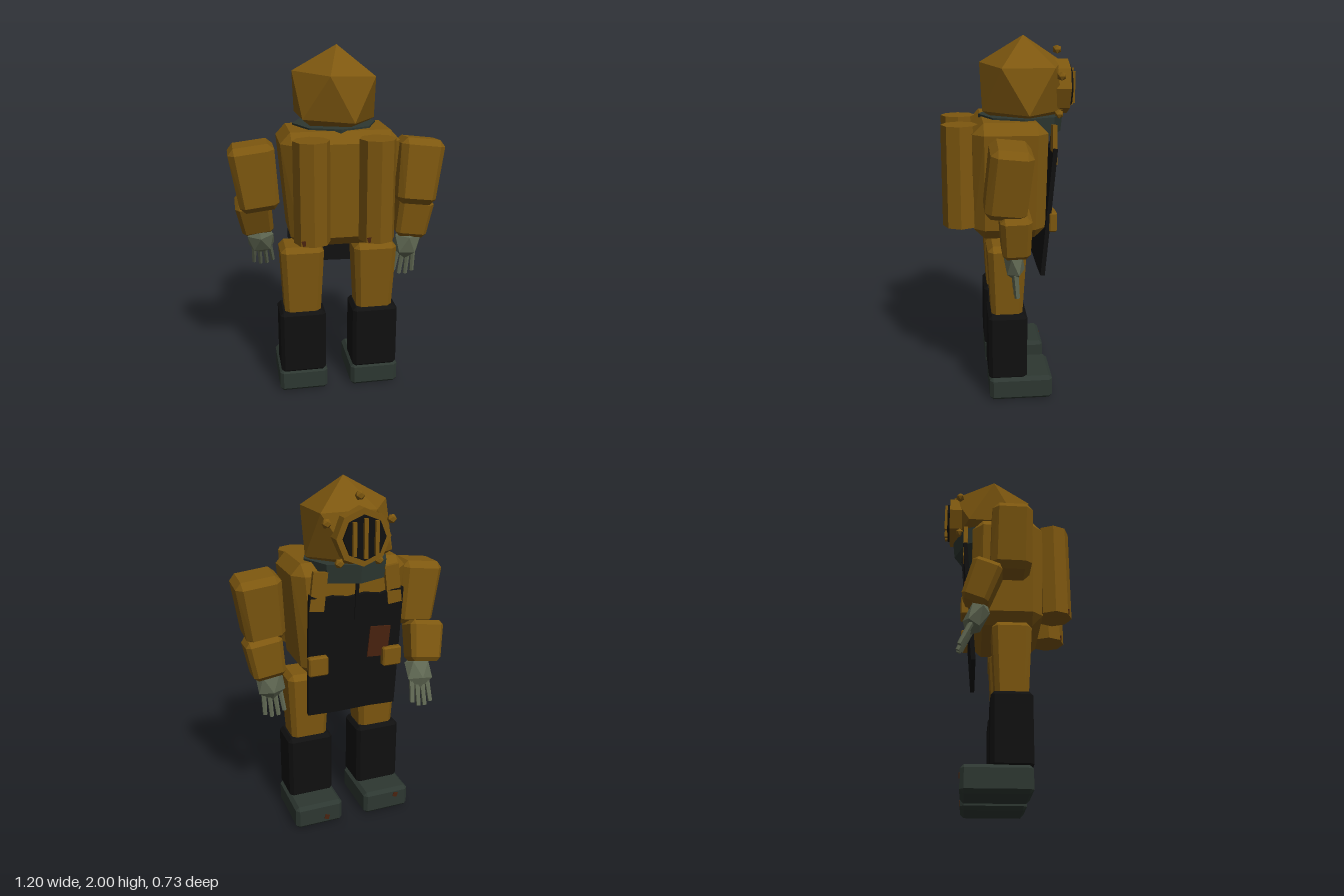
import * as THREE from 'three';
import { ConvexGeometry } from 'three/addons/geometries/ConvexGeometry.js';

const material = (name, color, flatShading = true) => {
  const m = new THREE.MeshStandardMaterial({ color, flatShading });
  m.name = name;
  return m;
};

// Box with chamfered edges; the bottom may be narrower than the top
function chamferBox(w, h, d, c, taperX = 1, taperZ = 1) {
  const points = [];
  for (const x of [-1, 1]) for (const y of [-1, 1]) for (const z of [-1, 1]) {
    for (let axis = 0; axis < 3; axis++) {
      const p = new THREE.Vector3(
        x * (w / 2 - (axis === 0 ? 0 : c)),
        y * (h / 2 - (axis === 1 ? 0 : c)),
        z * (d / 2 - (axis === 2 ? 0 : c)));
      const t = 0.5 - p.y / h;
      p.x *= 1 + (taperX - 1) * t;
      p.z *= 1 + (taperZ - 1) * t;
      points.push(p);
    }
  }
  return new ConvexGeometry(points);
}

// Icosahedron standing on a corner
const uprightIcosahedron = (r) => new THREE.IcosahedronGeometry(r, 0).rotateX(-1.0172);

export function createModel() {
  const model = new THREE.Group();
  const ochre = material('ochre metal', 0x7d570f);
  const black = material('black rubber', 0x101010);
  const slate = material('slate trim', 0x2d3731);
  const skin = material('grey green skin', 0x606853);
  const rust = material('rust', 0x4a230f);

  const add = (name, geometry, mat, pos, rot = [0, 0, 0], parent = model) => {
    const mesh = new THREE.Mesh(geometry, mat);
    mesh.name = name;
    mesh.position.set(...pos);
    mesh.rotation.set(...rot);
    parent.add(mesh);
    return mesh;
  };

  // Torso, collar and helmet
  add('torso', chamferBox(0.66, 0.64, 0.4, 0.06, 0.83, 0.97), ochre, [0, 1.25, 0]);
  add('collar', new THREE.CylinderGeometry(0.235, 0.225, 0.1, 8), slate, [0, 1.53, -0.08]);
  add('helmet', uprightIcosahedron(0.27).rotateY(-0.26), ochre, [0, 1.73, -0.09], [0, 0, -0.06]);

  // Face grille with bars and a ring of bolts
  const disc = (r, depth) => new THREE.CylinderGeometry(r, r, depth, 8).rotateX(Math.PI / 2);
  add('visorRim', disc(0.148, 0.09), ochre, [0, 1.725, -0.293]);
  add('visorGlass', disc(0.115, 0.02), black, [0, 1.725, -0.343]);
  for (const x of [-0.06, 0, 0.06]) {
    add('visorBar', new THREE.BoxGeometry(0.02, x ? 0.17 : 0.2, 0.02), ochre, [x, 1.725, -0.36]);
  }
  for (let i = 0; i < 5; i++) {
    const a = Math.PI / 2 + i * Math.PI * 0.4;
    add('helmetBolt', new THREE.IcosahedronGeometry(0.026, 0), ochre,
      [Math.cos(a) * 0.185, 1.738 + Math.sin(a) * 0.185, -0.277]);
  }

  // Apron with a torn top edge, its seam, patch, straps and pouches
  const apronShape = new THREE.Shape([
    [-0.26, -0.36], [-0.1, -0.355], [0.1, -0.36], [0.26, -0.355], [0.265, 0], [0.262, 0.36],
    [0.2, 0.33], [0.13, 0.34], [0.04, 0.325], [-0.05, 0.34], [-0.14, 0.325], [-0.2, 0.345], [-0.27, 0.35], [-0.265, 0],
  ].map(([x, y]) => new THREE.Vector2(x, y)));
  const apron = new THREE.Group();
  apron.name = 'apron';
  apron.position.set(0, 1.07, -0.21);
  apron.rotation.x = -0.083;
  model.add(apron);
  add('apronPanel', new THREE.ExtrudeGeometry(apronShape, { depth: 0.024, bevelEnabled: false }), black, [0, 0, -0.012], [0, 0, 0], apron);
  add('apronSeam', new THREE.BoxGeometry(0.018, 0.25, 0.01), black, [0, 0.32, -0.014], [0, 0, 0], apron);
  add('apronPatch', new THREE.BoxGeometry(0.12, 0.18, 0.008), rust, [-0.14, 0.05, -0.015], [0, 0, 0.06], apron);
  for (const s of [-1, 1]) {
    add('apronStrap', new THREE.BoxGeometry(0.08, 0.21, 0.024), ochre, [s * 0.21, 1.44, -0.238], [0, 0, s * 0.12]);
    add('pouch', chamferBox(0.11, 0.11, 0.045, 0.008), ochre, [s * 0.215, 1.025, -0.232]);
  }

  // Twin tanks and legs
  for (const s of [-1, 1]) {
    add('tank', new THREE.CylinderGeometry(0.098, 0.098, 0.55, 8), ochre, [s * 0.175, 1.275, 0.263]);
    add('thigh', chamferBox(0.25, 0.44, 0.215, 0.03, 0.82, 0.78), ochre, [s * 0.21, 0.69, 0.02]);
    add('shin', chamferBox(0.265, 0.39, 0.215, 0.02), black, [s * 0.213, 0.32, 0.017]);
    add('foot', chamferBox(0.285, 0.14, 0.355, 0.02), slate, [s * 0.213, 0.07, -0.057]);
  }

  // Arms: one hangs straight, the other is bent
  const arms = [
    { s: 1, upperX: -0.1, upperZ: 0.03, fore: [0.447, 1.03, -0.008], foreX: 0.03, hand: [0.42, 0.865, -0.005], handX: 0.08 },
    { s: -1, upperX: 0.02, upperZ: 0.008, fore: [-0.455, 1.045, -0.145], foreX: 0.35, hand: [-0.425, 0.875, -0.17], handX: 0.45 },
  ];
  for (const { s, upperX, upperZ, fore, foreX, hand, handX } of arms) {
    add('upperArm', chamferBox(0.255, 0.37, 0.215, 0.035, 0.85, 1), ochre, [s * 0.457, 1.31, upperZ], [upperX, 0, -s * 0.12]);
    add('forearm', chamferBox(0.21, 0.235, 0.165, 0.025, 0.86, 0.86), ochre, fore, [foreX, 0, -s * 0.14]);
    const group = new THREE.Group();
    group.name = 'hand';
    group.position.set(...hand);
    group.rotation.set(handX, 0, -s * 0.08);
    model.add(group);
    add('palm', uprightIcosahedron(1).scale(0.09, 0.11, 0.06), skin, [0, 0, 0], [0, 0, 0], group);
    for (let i = 0; i < 4; i++) {
      const length = i === 0 || i === 3 ? 0.13 : 0.15;
      add('finger', new THREE.CylinderGeometry(0.016, 0.013, length, 6), skin,
        [-0.052 + i * 0.035, -0.055 - length / 2, 0], [0, 0, (i - 1.5) * 0.05], group);
    }
  }

  // Rust specks
  const specks = [
    [-0.225, 1.02, 0.338], [0.125, 1.02, 0.338], [-0.27, 0.1, -0.235], [0.17, 0.05, -0.235],
  ];
  for (const p of specks) add('rustSpeck', new THREE.BoxGeometry(0.028, 0.028, 0.008), rust, p, [0, 0, 0.3]);

  return model;
}
